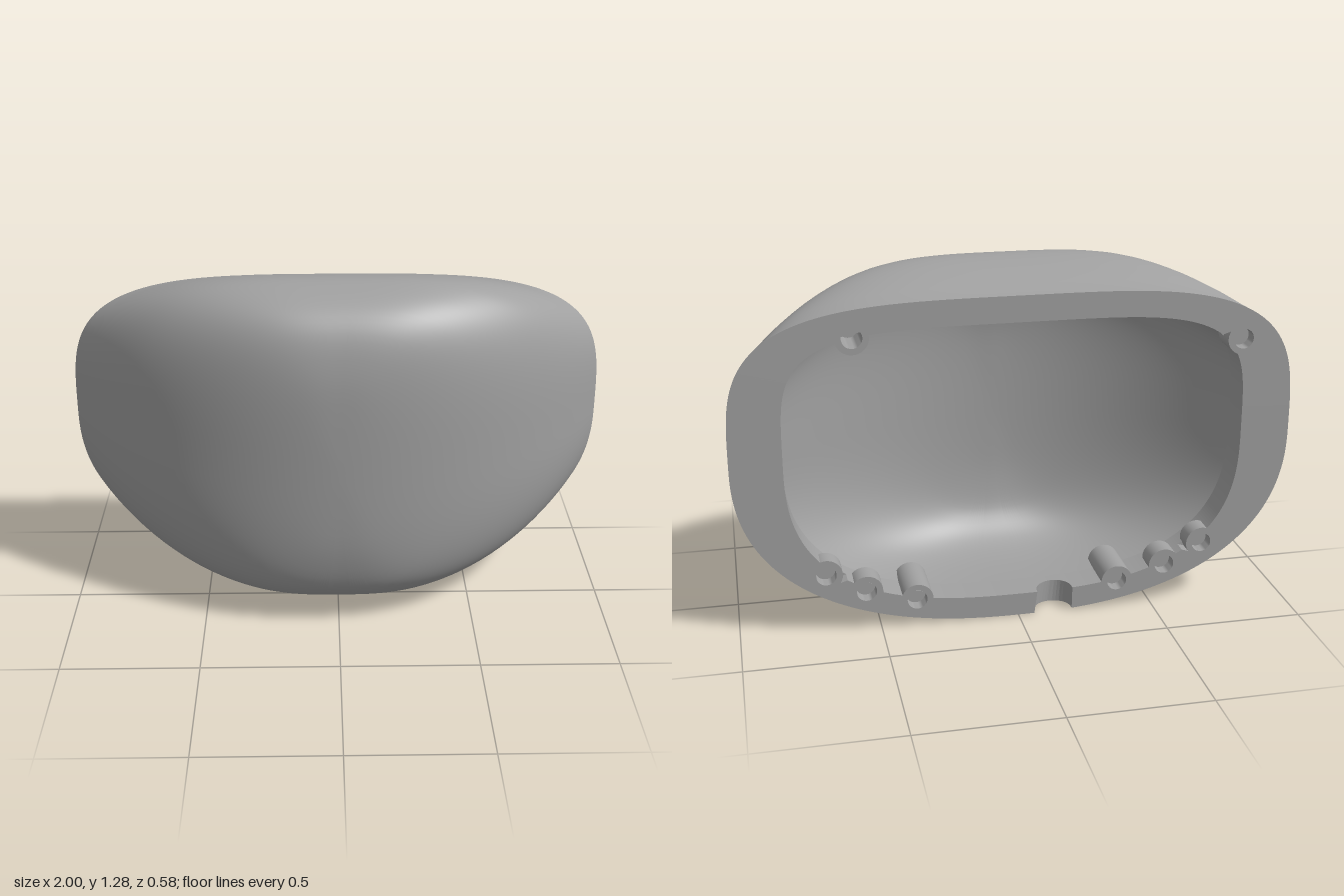
import * as THREE from 'three';
import { mergeVertices, toCreasedNormals } from 'three/addons/utils/BufferGeometryUtils.js';

const BACK = -0.29, MID = 0.65, ARC_Z = -0.862; // rim plane, widest height, centre of the front arc
const RIM_N = 2.35; // roundness of the lower rim
const lerp = THREE.MathUtils.lerp;

// Upper and lower side profile, from the front crest to the rim
const profile = ys => new THREE.SplineCurve(ys.map((y, i) => new THREE.Vector2(i / 10, y)));
const upper = profile([0.68, 0.93, 1.06, 1.15, 1.207, 1.243, 1.267, 1.28, 1.268, 1.238, 1.2]);
const lower = profile([0.62, 0.4, 0.27, 0.175, 0.12, 0.08, 0.05, 0.027, 0.012, 0.004, 0]);

// Cable notch in the lower rim
const NOTCH_X = -0.13, NOTCH_R = 0.07;

// Screw posts: x, y, length
const posts = [[0.57, 1.084, 0.15], [-0.81, 1.0, 0.1]];
for (const m of [1, -1]) posts.push([0.37 * m, 0.1, 0.19], [0.55 * m, 0.15, 0.08], [0.69 * m, 0.225, 0.07]);
const POST_R = 0.058, BORE_R = 0.036, POCKET_R = 0.046;

// Angles around the body, with extra ones at the notch
function columnAngles() {
  const angles = [];
  for (let i = 0; i < 360; i++) angles.push(-Math.PI + (i / 360) * Math.PI * 2);
  for (let k = 0; k <= 16; k++) {
    const x = NOTCH_X + NOTCH_R * 1.005 * Math.cos((k / 16) * Math.PI);
    const c = Math.pow(Math.abs(x), RIM_N / 2);
    angles.push(-Math.acos(c), -Math.acos(-c));
  }
  return angles.sort((a, b) => a - b);
}
const columns = columnAngles();

// Front limit of the notch for each column
const notchZ = columns.map(a => {
  if (a >= 0) return BACK;
  const x = Math.sign(Math.cos(a)) * Math.pow(Math.abs(Math.cos(a)), 2 / RIM_N);
  const dx = Math.abs(x - NOTCH_X);
  return dx < NOTCH_R ? BACK + 0.01 + Math.sqrt(NOTCH_R ** 2 - dx ** 2) : BACK;
});

// Cross-section: rounded outline, fuller above than below
function section(s, z, width, topScale, bottomScale, nTop, nBottom) {
  const top = (upper.getPoint(s).y - MID) * topScale;
  const bottom = (MID - lower.getPoint(s).y) * bottomScale;
  return columns.map((a, j) => {
    const c = Math.cos(a), d = Math.sin(a), up = d >= 0;
    const e = 2 / (up ? nTop : nBottom);
    return new THREE.Vector3(
      Math.sign(c) * Math.pow(Math.abs(c), e) * width,
      MID + (up ? top : -bottom) * Math.pow(Math.abs(d), e),
      Math.max(z, notchZ[j]));
  });
}

const arcWidth = (z, r) => Math.sqrt(Math.max(0, r * r - (z - ARC_Z) ** 2));

function outerRing(s) {
  const z = 0.29 - 0.58 * s * s;
  return section(s, z, arcWidth(z, 1.152), 1, 1, lerp(3.3, 3.7, s), lerp(3.4, RIM_N, s));
}

function cavityRing(s) {
  const z = 0.21 - 0.38 * s * s;
  return section(s, z, arcWidth(z, 1.072), 0.83, 0.87, lerp(3.3, 4.4, s), lerp(3.4, 2.7, s));
}

const atDepth = (ring, z) => ring.map((p, j) => new THREE.Vector3(p.x, p.y, Math.max(z, notchZ[j])));

// Widens the opening around each screw post
function withPockets(inner, outer) {
  return inner.map((p, j) => {
    const dx = outer[j].x - p.x, dy = outer[j].y - p.y, len = Math.hypot(dx, dy);
    const ux = dx / len, uy = dy / len;
    let push = 0;
    for (const [cx, cy] of posts) {
      const fx = cx - p.x, fy = cy - p.y;
      const along = fx * ux + fy * uy;
      const h = POCKET_R ** 2 - (fx * fx + fy * fy - along * along);
      if (h > 0) push = Math.max(push, along + Math.sqrt(h));
    }
    push = Math.min(push, len * 0.95);
    return new THREE.Vector3(p.x + ux * push, p.y + uy * push, p.z);
  });
}

// Skin over a list of closed rings
function loft(rings, smooth) {
  const n = columns.length, index = [];
  for (let i = 0; i < rings.length - 1; i++) {
    for (let j = 0; j < n; j++) {
      const k = (j + 1) % n;
      const a = i * n + j, b = i * n + k, c = b + n, d = a + n;
      index.push(a, d, b, d, c, b);
    }
  }
  let geometry = new THREE.BufferGeometry().setFromPoints(rings.flat());
  geometry.setIndex(index);
  geometry = smooth ? mergeVertices(geometry, 1e-5) : geometry.toNonIndexed();
  geometry.computeVertexNormals();
  return geometry;
}

function postGeometry(length) {
  const bore = length - 0.015;
  const points = [[0, bore], [BORE_R, bore], [BORE_R, 0], [POST_R, 0], [POST_R, length], [0, length]]
    .map(([x, y]) => new THREE.Vector2(x, y));
  const geometry = new THREE.LatheGeometry(points, 32);
  geometry.rotateX(Math.PI / 2);
  return toCreasedNormals(geometry, 0.6);
}

export function createModel() {
  const model = new THREE.Group();
  model.name = 'housingShell';
  const grey = new THREE.MeshStandardMaterial({ color: 0xa0a0a0 });
  grey.name = 'grey plastic';
  const add = (name, geometry) => {
    const mesh = new THREE.Mesh(geometry, grey);
    mesh.name = name;
    model.add(mesh);
    return mesh;
  };

  // Domed outside and hollow inside
  const steps = Array.from({ length: 33 }, (_, i) => i / 32);
  const outer = steps.map(outerRing);
  const cavity = steps.map(cavityRing).reverse();
  add('outerShell', loft(outer, true));
  add('cavity', loft(cavity, true));

  // Flat rim and the straight lip behind it
  const rimEdge = outer[outer.length - 1], opening = cavity[0];
  const pocketed = withPockets(opening, rimEdge);
  add('rim', loft([rimEdge, atDepth(pocketed, BACK)], false));
  add('innerLip', loft([
    atDepth(pocketed, BACK), atDepth(pocketed, -0.24), atDepth(opening, -0.24), opening,
  ], false));

  // Screw posts
  for (const [x, y, length] of posts) add('screwPost', postGeometry(length)).position.set(x, y, BACK);

  return model;
}
